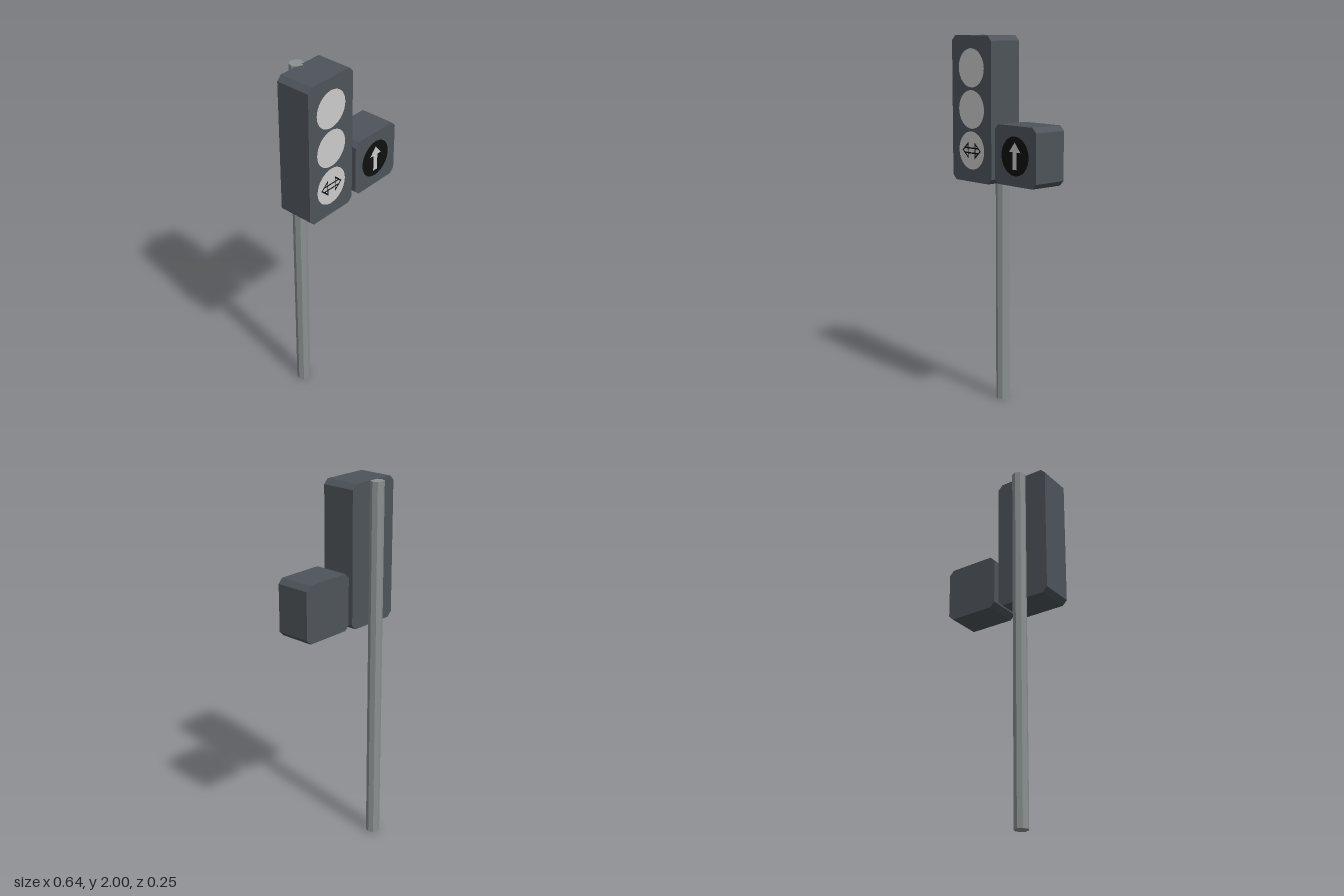
import * as THREE from 'three';

const material = (color) => new THREE.MeshStandardMaterial({ color, flatShading: true });

function polygon(points) {
  return new THREE.Shape(points.map(([x, y]) => new THREE.Vector2(x, y)));
}

export function createModel() {
  const model = new THREE.Group();
  const housingMat = material(0x4e545a);
  const poleMat = material(0x8b9090);
  const greyMat = material(0xcccccc);
  const blackMat = material(0x0e0f10);
  const back = -0.068, front = 0.123;
  const mainX = -0.167, sideX = 0.1675, lowY = 1.408;

  function add(name, geometry, mat, x, y, z) {
    const mesh = new THREE.Mesh(geometry, mat);
    mesh.name = name;
    mesh.position.set(x, y, z);
    model.add(mesh);
  }

  // Box with its four long edges chamfered
  function housing(name, w, h, x, y) {
    const a = w / 2, b = h / 2, c = 0.026;
    const shape = polygon([
      [-a + c, -b], [a - c, -b], [a, -b + c], [a, b - c],
      [a - c, b], [-a + c, b], [-a, b - c], [-a, -b + c],
    ]);
    const geometry = new THREE.ExtrudeGeometry(shape, { depth: front - back, bevelEnabled: false });
    add(name, geometry, housingMat, x, y, back);
  }

  // Octagonal pole behind the main housing
  add('pole', new THREE.CylinderGeometry(0.0375, 0.0375, 2, 8), poleMat, mainX, 1, -0.092);

  housing('mainHousing', 0.309, 0.757, mainX, 1.6215);
  housing('sideHousing', 0.305, 0.305, sideX, lowY);

  // Flat round lenses
  const lens = new THREE.CircleGeometry(0.1, 32);
  ['lowerLens', 'middleLens', 'upperLens'].forEach((name, i) =>
    add(name, lens, greyMat, mainX, lowY + i * 0.2135, front + 0.001));
  add('sideLens', lens, blackMat, sideX, lowY, front + 0.001);

  // Solid upward arrow on the side lens
  const upArrow = polygon([
    [-0.015, -0.068], [0.015, -0.068], [0.015, 0.02], [0.042, 0.02],
    [0, 0.07], [-0.042, 0.02], [-0.015, 0.02],
  ]);
  add('upArrow', new THREE.ShapeGeometry(upArrow), greyMat, sideX, lowY, front + 0.002);

  // Outlined double arrow on the lower lens: two hollow heads, two shaft lines
  const head = polygon([[0.024, -0.045], [0.073, 0], [0.024, 0.045]]);
  head.holes.push(new THREE.Path([[0.031, -0.029], [0.031, 0.029], [0.063, 0]]
    .map(([x, y]) => new THREE.Vector2(x, y))));
  const headGeometry = new THREE.ShapeGeometry(head);
  const leftHead = headGeometry.clone().rotateZ(Math.PI);
  add('arrowHeadLeft', headGeometry, blackMat, mainX, lowY, front + 0.002);
  add('arrowHeadRight', leftHead, blackMat, mainX, lowY, front + 0.002);
  for (const s of [-1, 1]) {
    add(s > 0 ? 'arrowLineTop' : 'arrowLineBottom', new THREE.PlaneGeometry(0.11, 0.007),
      blackMat, mainX, lowY + s * 0.013, front + 0.0022);
  }

  return model;
}
